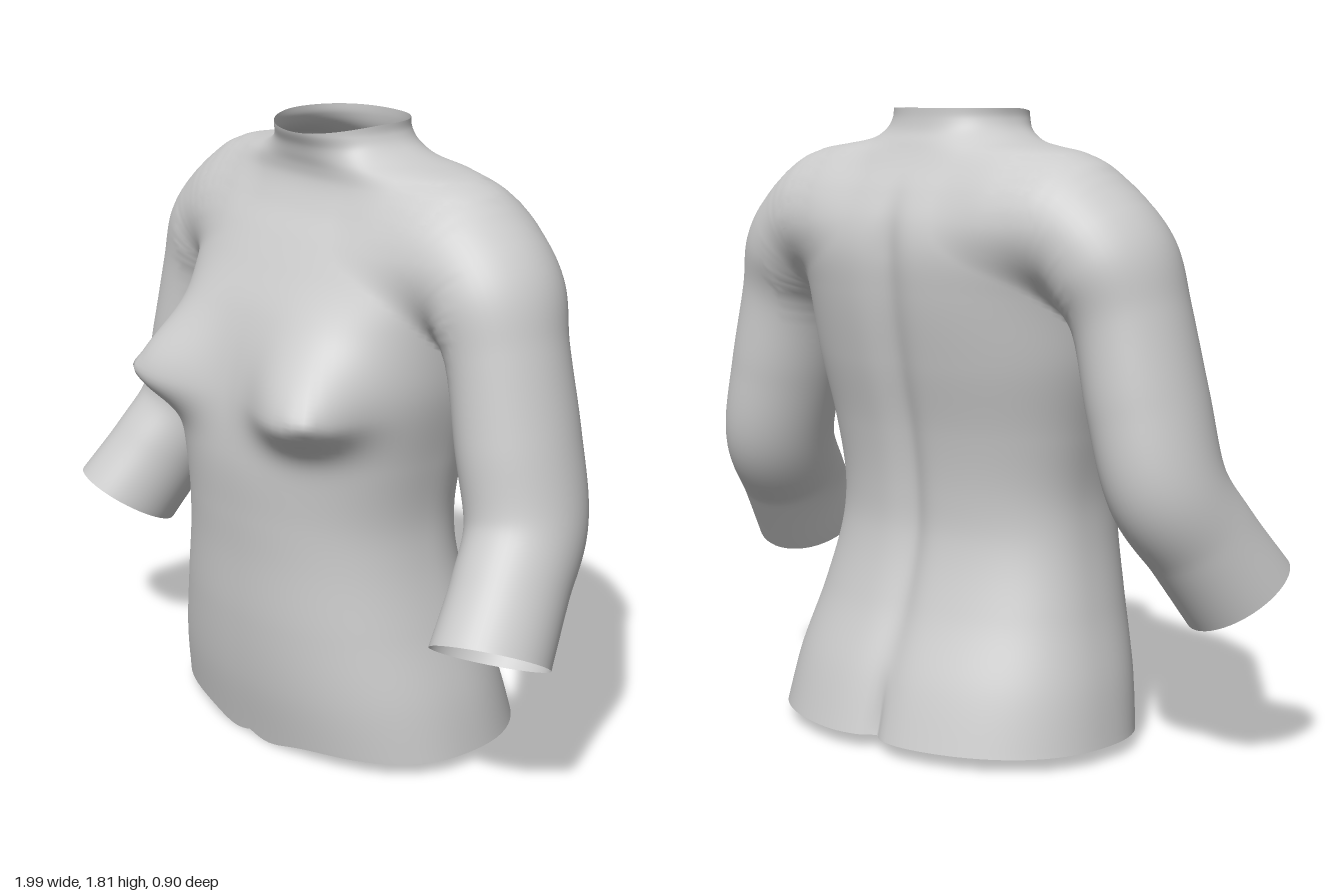
import * as THREE from 'three';

const { smoothstep } = THREE.MathUtils;
const gauss = (d, s) => Math.exp(-(d / s) * (d / s));

// Smooth interpolation through a table whose first column is the parameter
function table(rows) {
  const n = rows[0].length - 1;
  return new THREE.CubicInterpolant(rows.map(r => r[0]), rows.flatMap(r => r.slice(1)), n, new Float64Array(n));
}

// Torso sections: height, half width, front z, back z, z of the widest point
const torsoTable = table([
  [0.00, 0.570, 0.330, -0.455, -0.03],
  [0.20, 0.535, 0.368, -0.390, -0.02],
  [0.40, 0.480, 0.388, -0.305, 0.00],
  [0.60, 0.435, 0.395, -0.252, 0.02],
  [0.72, 0.425, 0.403, -0.250, 0.02],
  [0.90, 0.448, 0.412, -0.272, 0.01],
  [1.10, 0.487, 0.388, -0.318, 0.00],
  [1.30, 0.505, 0.325, -0.355, -0.02],
  [1.42, 0.530, 0.258, -0.362, -0.05],
  [1.50, 0.540, 0.208, -0.345, -0.07],
  [1.58, 0.530, 0.155, -0.305, -0.08],
  [1.65, 0.470, 0.125, -0.260, -0.08],
  [1.685, 0.390, 0.125, -0.240, -0.07],
  [1.715, 0.285, 0.132, -0.225, -0.05],
  [1.745, 0.225, 0.140, -0.210, -0.04],
  [1.78, 0.196, 0.156, -0.202, -0.03],
  [1.82, 0.190, 0.162, -0.200, -0.03],
]);

// Distance of the torso skin from its axis at height y and angle a (0 is the front)
function torsoSection(y, a) {
  const [w, front, back, zc] = torsoTable.evaluate(y);
  const s = Math.abs(Math.sin(a)), c = Math.cos(a), n = 2.3;
  const depth = c > 0 ? front - zc : zc - back;
  let r = Math.pow(Math.pow(s / w, n) + Math.pow(Math.abs(c) / depth, n), -1 / n);
  const side = Math.abs(a);
  // breasts, fuller below than above
  r += 0.14 * gauss(side - 0.67, 0.31) * gauss(y - 1.07, y > 1.07 ? 0.17 : 0.095);
  r += 0.018 * gauss(side - 0.71, 0.05) * gauss(y - 1.08, 0.025);
  // spine groove and the cleft at the bottom
  r -= 0.028 * gauss(Math.PI - side, 0.2) * (1 - smoothstep(y, 1.4, 1.65));
  r -= 0.025 * gauss(Math.PI - side, 0.06) * (1 - smoothstep(y, 0.05, 0.25));
  return { r, zc };
}

// Arm centre line: step, x, y, z, radius
const Z_STRETCH = 1.17;
const armTable = table([
  [0, 0.34, 1.500, -0.090, 0.160],
  [1, 0.48, 1.475, -0.080, 0.177],
  [2, 0.585, 1.385, -0.070, 0.175],
  [3, 0.645, 1.250, -0.060, 0.155],
  [4, 0.70, 1.020, -0.055, 0.158],
  [5, 0.755, 0.800, -0.040, 0.155],
  [6, 0.80, 0.645, 0.060, 0.150],
  [7, 0.845, 0.490, 0.172, 0.155],
]);
function armAt(t) {
  const [x, y, z, r] = armTable.evaluate(t);
  return { p: new THREE.Vector3(x, y, z / Z_STRETCH), r };
}
const spine = Array.from({ length: 36 }, (_, i) => armAt(i / 5));

// Approximate distances to the torso and arm skins
function torsoGap(x, y, z) {
  const { zc } = torsoSection(y, 0);
  return Math.hypot(x, z - zc) - torsoSection(y, Math.atan2(x, z - zc)).r;
}
function torsoDistance(x, y, z) {
  const e = 0.002, g = torsoGap(x, y, z);
  const slope = Math.hypot(torsoGap(x + e, y, z) - g, torsoGap(x, y + e, z) - g, torsoGap(x, y, z + e) - g) / e;
  return g / Math.max(slope, 0.5);
}
const seg = new THREE.Line3(), probe = new THREE.Vector3(), near = new THREE.Vector3();
function armDistance(x, y, z) {
  probe.set(Math.abs(x), y, z / Z_STRETCH);
  let best = Infinity;
  for (let i = 0; i < spine.length - 1; i++) {
    seg.set(spine[i].p, spine[i + 1].p);
    const t = seg.closestPointToPointParameter(probe, true);
    const r = spine[i].r + (spine[i + 1].r - spine[i].r) * t;
    best = Math.min(best, seg.at(t, near).distanceTo(probe) - r);
  }
  return best;
}

// Both skins joined with a soft fillet over the shoulder
function body(x, y, z) {
  const a = torsoDistance(x, y, z), b = armDistance(x, y, z);
  const k = 0.01 + 0.11 * smoothstep(y, 1.22, 1.5);
  const h = Math.max(k - Math.abs(a - b), 0) / k;
  return Math.min(a, b) - h * h * k / 4;
}
function bodyGradient(p, value) {
  const e = 0.003;
  return new THREE.Vector3(body(p.x + e, p.y, p.z) - value, body(p.x, p.y + e, p.z) - value,
    body(p.x, p.y, p.z + e) - value).divideScalar(e);
}

// Grid of rings; points close to the other part are moved onto the fillet
function loft(rows, cols, pointAt, otherDistance) {
  const pos = [], index = [], blended = [];
  for (let i = 0; i <= rows; i++) {
    for (let j = 0; j < cols; j++) {
      const p = pointAt(i / rows, (j / cols) * Math.PI * 2 - Math.PI);
      const d = otherDistance(p.x, p.y, p.z);
      const blend = p.y > 1.15 && d > -0.05 && d < 0.12;
      for (let n = 0; blend && n < 4; n++) {
        const f = body(p.x, p.y, p.z), g = bodyGradient(p, f);
        const step = THREE.MathUtils.clamp(-f / Math.max(g.lengthSq(), 0.3), -0.03, 0.03);
        p.addScaledVector(g, step);
      }
      blended.push(blend ? bodyGradient(p, body(p.x, p.y, p.z)).normalize() : null);
      pos.push(p.x, p.y, p.z);
      if (i < rows) {
        const a = i * cols + j, b = i * cols + (j + 1) % cols;
        index.push(a, b, a + cols, b, b + cols, a + cols);
      }
    }
  }
  const geo = new THREE.BufferGeometry();
  geo.setAttribute('position', new THREE.Float32BufferAttribute(pos, 3));
  geo.setIndex(index);
  geo.computeVertexNormals();
  blended.forEach((n, i) => n && geo.attributes.normal.setXYZ(i, n.x, n.y, n.z));
  return geo;
}

function torsoPoint(t, a) {
  const frontness = Math.max(Math.cos(a), 0);
  const x = 0.5 * Math.sin(a);
  // wavy waist edge and tilted neck edge
  const dip = frontness > 0 ? 0.04 * gauss(Math.abs(x) - 0.1, 0.15) * smoothstep(frontness, 0, 0.5) : 0;
  const bottom = 0.04 - dip;
  const top = 1.81 - 0.027 * frontness * frontness;
  const y = bottom + (top - bottom) * (1 - Math.pow(1 - t, 1.6));
  const { r, zc } = torsoSection(y, a);
  return new THREE.Vector3(r * Math.sin(a), y, zc + r * Math.cos(a));
}

function armPoint(t, a) {
  const u = t * 7, { p, r } = armAt(u);
  const dir = armAt(Math.min(u + 0.1, 7)).p.sub(armAt(Math.max(u - 0.1, 0)).p).normalize();
  const v = new THREE.Vector3(0, 0, 1).addScaledVector(dir, -dir.z).normalize();
  const side = v.clone().cross(dir);
  p.addScaledVector(side, r * Math.cos(a)).addScaledVector(v, r * Math.sin(a));
  p.z *= Z_STRETCH;
  return p;
}

export function createModel() {
  const model = new THREE.Group();
  model.name = 'torso';
  const skin = new THREE.MeshStandardMaterial({ color: 0xcccccc, side: THREE.DoubleSide });

  const trunk = new THREE.Mesh(loft(140, 112, torsoPoint, armDistance), skin);
  trunk.name = 'trunk';
  model.add(trunk);

  const armGeometry = loft(70, 48, armPoint, torsoDistance);
  for (const side of [1, -1]) {
    const arm = new THREE.Mesh(armGeometry, skin);
    arm.name = side > 0 ? 'leftArm' : 'rightArm';
    arm.scale.x = side;
    model.add(arm);
  }
  return model;
}
